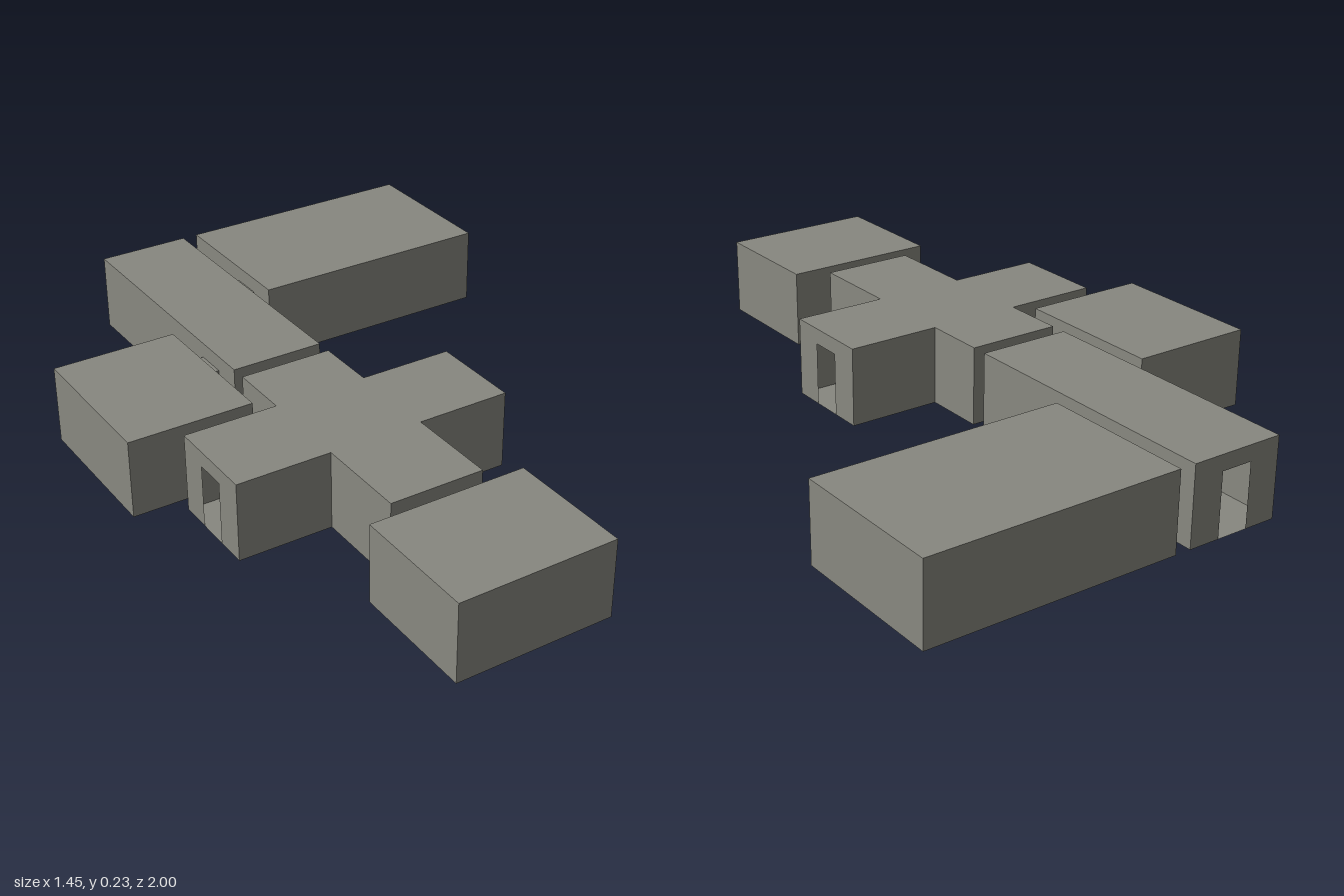
import * as THREE from 'three';

const U = 1 / 22;          // one floor-plan square
const ROOM_H = 5, DOOR_H = 4, DOOR_W = 2;

// Door centres on the plan, as [x, z]
const DOORS = [
  [-4, -22], [-4, -4], [-4, -3], [-4, 13], [-4, 14],
  [-1, -15], [0, -15], [-8, -7], [-7, -7], [5, 4], [-13, 4],
];

// Footprints run counter-clockwise seen from above
const rect = (x0, x1, z0, z1) => [[x0, z1], [x1, z1], [x1, z0], [x0, z0]];

const ROOMS = {
  frontRoom: rect(-9, 1, 14, 22),
  sideRoom: rect(-16, -8, -10, 0),
  largeRoom: rect(0, 16, -22, -12),
  corridor: rect(-7, -1, -22, -4),
  crossHall: [
    [-7, 13], [-1, 13], [-1, 7], [5, 7], [5, 1], [-1, 1],
    [-1, -3], [-7, -3], [-7, 1], [-13, 1], [-13, 7], [-7, 7],
  ],
};

const PASSAGES = {
  frontPassage: rect(-5, -3, 13, 14),
  middlePassage: rect(-5, -3, -4, -3),
  largeRoomPassage: rect(-1, 0, -16, -14),
  sideRoomPassage: rect(-8, -7, -8, -6),
};

export function createModel() {
  const model = new THREE.Group();
  model.name = 'floorPlan';
  const stone = new THREE.MeshStandardMaterial({ color: 0x888880, side: THREE.DoubleSide });
  stone.name = 'stoneGrey';

  const add = (group, geometry, name) => {
    const mesh = new THREE.Mesh(geometry, stone);
    mesh.name = name;
    group.add(mesh);
  };

  // Flat wall from a to b, notched at any door on it
  function wall(a, b, height) {
    const dx = b[0] - a[0], dz = b[1] - a[1], length = Math.hypot(dx, dz);
    const along = DOORS
      .filter(([x, z]) => Math.abs((x - a[0]) * dz - (z - a[1]) * dx) < 1e-6)
      .map(([x, z]) => ((x - a[0]) * dx + (z - a[1]) * dz) / length)
      .filter((t) => t > 0 && t < length);
    // A passage end is entirely open
    if (along.length && length <= DOOR_W) return null;
    const points = [[0, 0]];
    for (const t of along.sort((p, q) => p - q)) {
      const l = t - DOOR_W / 2, r = t + DOOR_W / 2;
      points.push([l, 0], [l, DOOR_H], [r, DOOR_H], [r, 0]);
    }
    points.push([length, 0], [length, height], [0, height]);
    const shape = new THREE.Shape(points.map(([x, y]) => new THREE.Vector2(x, y)));
    return new THREE.ShapeGeometry(shape)
      .rotateY(Math.atan2(-dz, dx))
      .translate(a[0], 0, a[1]);
  }

  // Thin shell: floor, ceiling and walls
  function shell(name, plan, height) {
    const group = new THREE.Group();
    group.name = name;
    const outline = (sign) =>
      new THREE.Shape(plan.map(([x, z]) => new THREE.Vector2(x, sign * z)));
    add(group, new THREE.ShapeGeometry(outline(1)).rotateX(Math.PI / 2), 'floor');
    add(group, new THREE.ShapeGeometry(outline(-1)).rotateX(-Math.PI / 2)
      .translate(0, height, 0), 'ceiling');
    plan.forEach((a, i) => {
      const geometry = wall(a, plan[(i + 1) % plan.length], height);
      if (geometry) add(group, geometry, 'wall');
    });
    group.scale.setScalar(U);
    model.add(group);
  }

  for (const [name, plan] of Object.entries(ROOMS)) shell(name, plan, ROOM_H);
  for (const [name, plan] of Object.entries(PASSAGES)) shell(name, plan, DOOR_H);
  return model;
}
